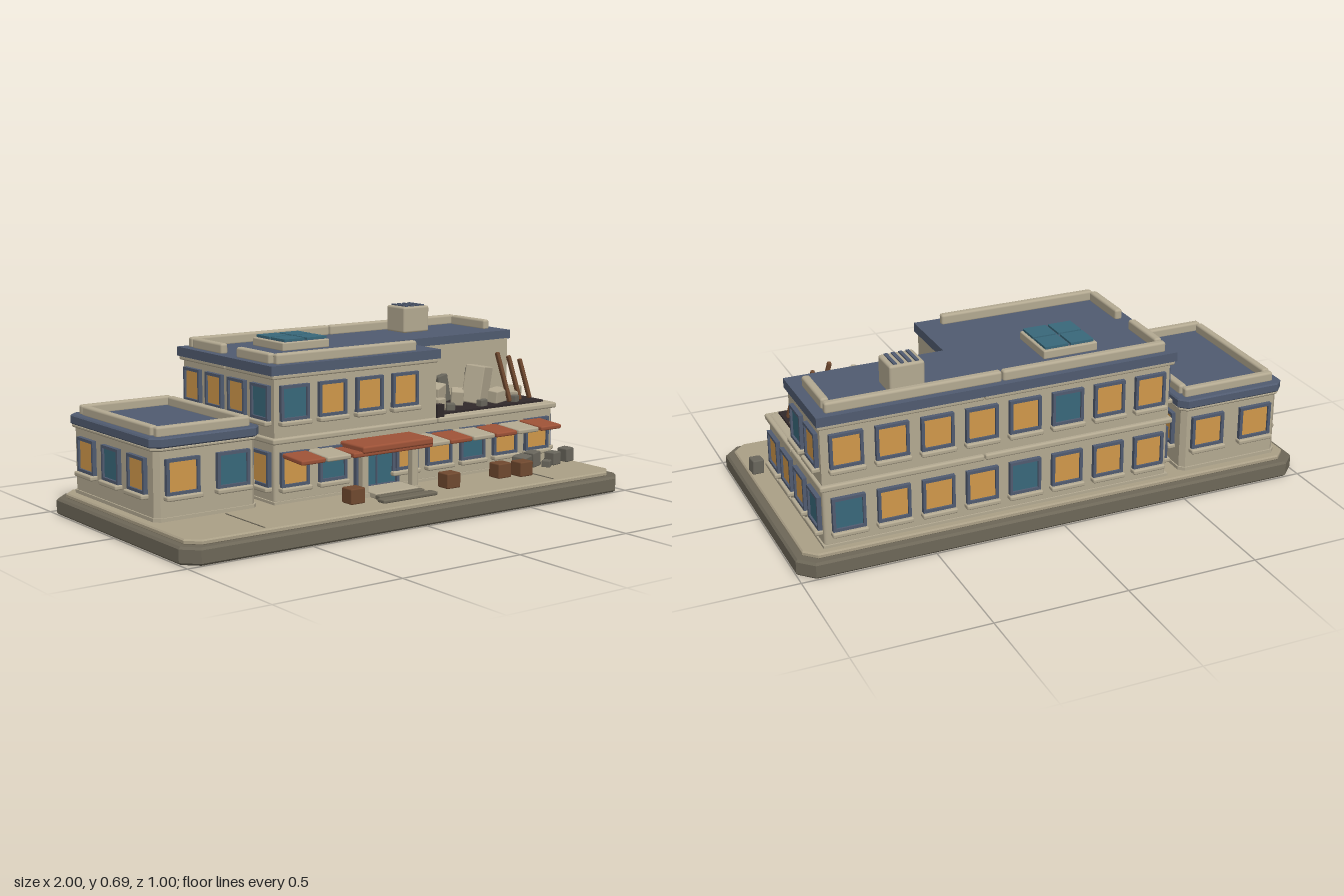
import * as THREE from 'three';
import { RoundedBoxGeometry } from 'three/addons/geometries/RoundedBoxGeometry.js';

const mat = (name, color) => {
  const m = new THREE.MeshStandardMaterial({ color });
  m.name = name;
  return m;
};
const M = {
  stone: mat('pale stone', 0xb3a991),
  paving: mat('paving', 0xaa9f86),
  kerb: mat('kerb', 0x6d6758),
  slate: mat('slate blue', 0x505b70),
  amber: mat('lit window', 0xd0984a),
  teal: mat('teal glass', 0x38687a),
  terracotta: mat('terracotta', 0x9d5237),
  char: mat('charred floor', 0x30282a),
  wood: mat('brown wood', 0x70492f),
  rubble: mat('grey rubble', 0x69665c),
};

export function createModel() {
  const root = new THREE.Group();
  root.name = 'damagedBuilding';

  const add = (name, geo, m, x, y, z, parent = root) => {
    const mesh = new THREE.Mesh(geo, m);
    mesh.name = name;
    mesh.position.set(x, y, z);
    parent.add(mesh);
    return mesh;
  };
  // Boxes given by their min and max corners, plain or with soft edges
  const box = (name, m, x0, x1, y0, y1, z0, z1, r = 0, parent = root) => {
    const s = [x1 - x0, y1 - y0, z1 - z0];
    const geo = r ? new RoundedBoxGeometry(...s, 2, Math.min(r, Math.min(...s) * 0.45)) : new THREE.BoxGeometry(...s);
    return add(name, geo, m, (x0 + x1) / 2, (y0 + y1) / 2, (z0 + z1) / 2, parent);
  };
  // Flat slab from an outline of [x, z] points
  const slab = (name, m, pts, y0, y1, bevel = 0) => {
    const shape = new THREE.Shape(pts.map(([x, z]) => new THREE.Vector2(x, -z)));
    const geo = new THREE.ExtrudeGeometry(shape, {
      depth: y1 - y0 - 2 * bevel, bevelEnabled: bevel > 0, bevelSize: bevel,
      bevelOffset: -bevel, bevelThickness: bevel, bevelSegments: 1,
    });
    geo.rotateX(-Math.PI / 2);
    return add(name, geo, m, 0, y0 + bevel, 0);
  };
  const chamfered = (x0, x1, z0, z1, c) => [
    [x0 + c, z0], [x1 - c, z0], [x1, z0 + c], [x1, z1 - c],
    [x1 - c, z1], [x0 + c, z1], [x0, z1 - c], [x0, z0 + c],
  ];

  // Ground plate
  slab('basePlate', M.kerb, chamfered(-1, 1, -0.5, 0.5, 0.055), 0, 0.062, 0.008);
  slab('pavement', M.paving, chamfered(-0.97, 0.97, -0.47, 0.47, 0.045), 0.06, 0.08, 0.005);
  box('pavingJoint', M.kerb, -0.668, -0.663, 0.079, 0.082, 0.2, 0.45);
  box('pavingJoint', M.kerb, 0.658, 0.663, 0.079, 0.082, 0.2, 0.45);

  // Main block: full lower floor, L-shaped upper floor and roof
  const ell = (x0, x1, z0, z1, nx, nz) => [[x0, z0], [x1, z0], [x1, nz], [nx, nz], [nx, z1], [x0, z1]];
  box('lowerFloor', M.stone, -0.45, 0.89, 0.08, 0.325, -0.437, 0.187, 0.012);
  slab('upperFloor', M.stone, ell(-0.45, 0.89, -0.437, 0.187, 0.29, -0.09), 0.315, 0.552);
  slab('mainRoof', M.slate, ell(-0.47, 0.905, -0.455, 0.202, 0.3, -0.09), 0.55, 0.585);
  box('charredFloor', M.char, 0.295, 0.855, 0.32, 0.333, -0.09, 0.172);
  box('charredStump', M.char, 0.29, 0.325, 0.32, 0.37, 0.165, 0.196);

  // Annex
  slab('annexWalls', M.stone, chamfered(-0.93, -0.52, -0.43, 0.177, 0.018), 0.08, 0.345);
  slab('annexRoof', M.slate, chamfered(-0.948, -0.502, -0.447, 0.195, 0.03), 0.34, 0.376, 0.005);
  slab('annexPlinth', M.stone, chamfered(-0.935, -0.515, -0.436, 0.183, 0.02), 0.08, 0.093);
  slab('annexCornice', M.stone, chamfered(-0.942, -0.508, -0.441, 0.189, 0.024), 0.328, 0.341, 0.004);

  // String courses and cornice, in segments
  for (const [x0, x1] of [[-0.462, 0.288], [0.292, 0.902]]) {
    box('stringCourse', M.stone, x0, x1, 0.3, 0.322, 0.175, 0.203, 0.007);
    box('stringCourse', M.stone, x0, x1, 0.3, 0.322, -0.452, -0.425, 0.007);
    box('cornice', M.stone, x0, x1, 0.535, 0.553, -0.452, -0.425, 0.006);
  }
  for (const [z0, z1] of [[-0.452, -0.122], [-0.118, 0.203]]) {
    box('stringCourse', M.stone, 0.876, 0.902, 0.3, 0.322, z0, z1, 0.007);
    box('stringCourse', M.stone, -0.464, -0.44, 0.3, 0.322, z0, z1, 0.007);
    box('cornice', M.stone, -0.464, -0.44, 0.535, 0.553, z0, z1, 0.006);
  }
  box('cornice', M.stone, -0.462, 0.29, 0.535, 0.553, 0.175, 0.2, 0.006);
  box('cornice', M.stone, 0.876, 0.902, 0.535, 0.553, -0.452, -0.125, 0.006);
  box('plinth', M.stone, -0.456, 0.896, 0.08, 0.09, -0.443, 0.193);

  // Parapet bars
  const bars = [
    [-0.425, 0.21, 0.14, 0.17], [-0.435, 0.21, -0.43, -0.4], [0.215, 0.865, -0.43, -0.4],
    [-0.44, -0.41, -0.39, -0.18], [-0.44, -0.41, -0.08, 0.14], [0.835, 0.865, -0.39, -0.175],
  ];
  for (const [x0, x1, z0, z1] of bars) box('parapet', M.stone, x0, x1, 0.58, 0.622, z0, z1, 0.009);
  const annexBars = [
    [-0.915, -0.535, 0.135, 0.165], [-0.915, -0.535, -0.415, -0.385],
    [-0.92, -0.89, -0.38, 0.13], [-0.56, -0.53, -0.38, 0.13],
  ];
  for (const [x0, x1, z0, z1] of annexBars) box('annexParapet', M.stone, x0, x1, 0.37, 0.41, z0, z1, 0.009);

  // Windows: slate frame, recessed pane and stone sill
  const openFrame = (w, h, t, d) => {
    const rect = (P, a, b) => new P([[-a, -b], [a, -b], [a, b], [-a, b]].map(p => new THREE.Vector2(...p)));
    const s = rect(THREE.Shape, w / 2, h / 2);
    s.holes.push(rect(THREE.Path, w / 2 - t, h / 2 - t));
    return new THREE.ExtrudeGeometry(s, { depth: d, bevelEnabled: false });
  };
  const frameGeo = openFrame(0.122, 0.128, 0.011, 0.016);
  const paneGeo = new THREE.BoxGeometry(0.102, 0.108, 0.008);
  const sillGeo = new RoundedBoxGeometry(0.132, 0.018, 0.034, 2, 0.006);
  const windowAt = (x, y, z, turn, glass, s = 1) => {
    const g = new THREE.Group();
    g.name = 'window';
    g.position.set(x, y, z);
    g.rotation.y = turn;
    g.scale.x = s;
    add('windowFrame', frameGeo, M.slate, 0, 0, 0, g);
    add('windowPane', paneGeo, glass, 0, 0, 0.004, g);
    add('windowSill', sillGeo, M.stone, 0, -0.073, 0.012, g);
    root.add(g);
  };
  const row = (codes, place) => [...codes].forEach((c, i) => {
    if (c !== '-') place(i, c === 'T' ? M.teal : M.amber);
  });
  const Q = Math.PI / 2, LOW = 0.205, HIGH = 0.447, ANNEX = 0.235;
  const colX = i => -0.367 + i * 0.1668, sideZ = i => 0.11 - i * 0.157;
  row('AT-AATAA', (i, m) => windowAt(colX(i), LOW, 0.187, 0, m));
  row('TAAA', (i, m) => windowAt(colX(i), HIGH, 0.187, 0, m));
  row('AAATAAAT', (i, m) => windowAt(colX(i), LOW, -0.437, Math.PI, m));
  row('AATAAAAA', (i, m) => windowAt(colX(i), HIGH, -0.437, Math.PI, m));
  row('AAAT', (i, m) => windowAt(0.89, LOW, sideZ(i), Q, m, 0.93));
  row('--TA', (i, m) => windowAt(0.89, HIGH, sideZ(i), Q, m, 0.93));
  row('ATAA', (i, m) => windowAt(-0.45, LOW, sideZ(i), -Q, m, 0.93));
  row('TAAA', (i, m) => windowAt(-0.45, HIGH, sideZ(i), -Q, m, 0.93));
  row('AT', (i, m) => windowAt(-0.828 + i * 0.205, ANNEX, 0.177, 0, m, 1.1));
  row('AA', (i, m) => windowAt(-0.828 + i * 0.205, ANNEX, -0.43, Math.PI, m, 1.1));
  row('ATA', (i, m) => windowAt(-0.93, ANNEX, 0.06 - i * 0.187, -Q, m));
  row('AAA', (i, m) => windowAt(-0.52, ANNEX, 0.06 - i * 0.187, Q, m));

  // Entrance: door, canopy, posts and steps
  add('doorFrame', openFrame(0.2, 0.16, 0.012, 0.02), M.slate, 0, 0.17, 0.187);
  box('door', M.teal, -0.09, 0.09, 0.095, 0.24, 0.187, 0.195);
  box('doorMullion', M.slate, -0.003, 0.003, 0.095, 0.24, 0.19, 0.199);
  box('canopy', M.terracotta, -0.162, 0.162, 0.255, 0.282, 0.185, 0.335, 0.008);
  box('canopyTrim', M.terracotta, -0.2, 0.165, 0.243, 0.262, 0.185, 0.328, 0.006);
  for (const x of [-0.115, 0.115]) {
    box('canopyPost', M.stone, x - 0.014, x + 0.014, 0.08, 0.25, 0.255, 0.285, 0.005);
    box('postFoot', M.stone, x - 0.02, x + 0.02, 0.08, 0.095, 0.249, 0.291);
  }
  box('landing', M.stone, -0.1, 0.1, 0.08, 0.1, 0.187, 0.325, 0.004);
  box('step', M.kerb, -0.105, 0.105, 0.08, 0.097, 0.328, 0.356, 0.004);
  box('step', M.kerb, -0.125, 0.125, 0.08, 0.094, 0.366, 0.408, 0.005);

  // Striped awning
  const awning = [[-0.425, 1], [-0.313, 0], [0.165, 0], [0.255, 1], [0.367, 0], [0.48, 1], [0.592, 0], [0.71, 1]];
  for (const [x, red] of awning) {
    const w = x === 0.165 ? 0.085 : 0.105;
    box('awningPanel', red ? M.terracotta : M.stone, x, x + w, 0.246, 0.264, 0.19, 0.325, 0.006).rotation.x = 0.06;
  }

  // Skylight and roof vent
  box('skylightFrame', M.stone, -0.215, 0, 0.583, 0.616, -0.315, -0.105, 0.005);
  for (const x of [-0.157, -0.055]) for (const z of [-0.26, -0.158])
    box('skylightPane', M.teal, x - 0.046, x + 0.046, 0.618, 0.627, z - 0.046, z + 0.046);
  box('skylightBed', M.slate, -0.2, -0.012, 0.614, 0.619, -0.303, -0.115);
  box('roofVent', M.stone, 0.482, 0.612, 0.583, 0.69, -0.378, -0.26, 0.009);
  for (let i = 0; i < 4; i++)
    box('ventSlat', M.slate, 0.5 + i * 0.027, 0.513 + i * 0.027, 0.688, 0.695, -0.367, -0.271);

  // Crates on the forecourt
  for (const [x, z] of [[-0.2, 0.325], [0.245, 0.325], [0.52, 0.3], [0.61, 0.325]]) {
    box('crate', M.wood, x - 0.032, x + 0.032, 0.08, 0.138, z - 0.03, z + 0.03, 0.005);
  }

  // Tilted blocks: [x, y, z, width, height, depth, rx, ry, rz]
  const block = (name, m, [x, y, z, w, h, d, rx, ry, rz]) =>
    add(name, new RoundedBoxGeometry(w, h, d, 1, 0.005), m, x, y, z).rotation.set(rx, ry, rz);
  const fallen = [
    [0.69, 0.107, 0.235, 0.065, 0.055, 0.06, 0.1, 0.4, 0], [0.755, 0.112, 0.225, 0.05, 0.06, 0.05, 0, 0.2, 0.1],
    [0.855, 0.105, 0.235, 0.05, 0.052, 0.05, 0, 0.2, 0], [0.94, 0.108, 0.22, 0.045, 0.056, 0.05, 0, 0.1, 0.06],
    [0.8, 0.092, 0.26, 0.035, 0.03, 0.035, 0, 0.6, 0],
  ];
  fallen.forEach(b => block('fallenRubble', M.rubble, b));
  const debris = [
    [0.36, 0.38, 0.08, 0.08, 0.1, 0.08, 0.1, 0.5, 0.1], [0.35, 0.43, 0.06, 0.055, 0.06, 0.06, 0.2, 0.8, 0.2],
    [0.58, 0.41, 0.085, 0.1, 0.15, 0.08, 0.1, 0.5, -0.2], [0.41, 0.365, -0.05, 0.08, 0.06, 0.07, 0, 0.3, 0.3],
    [0.5, 0.365, 0.06, 0.06, 0.06, 0.05, 0.1, 0.9, 0.1], [0.78, 0.355, 0.07, 0.11, 0.04, 0.06, 0, 0.7, 0.1],
    [0.67, 0.36, 0.1, 0.09, 0.05, 0.06, 0.1, 0.3, 0], [0.34, 0.36, 0.14, 0.05, 0.05, 0.04, 0, 0.3, 0],
  ];
  debris.forEach(b => block('wallDebris', M.stone, b));
  const shards = [
    [0.63, 0.395, -0.01, 0.05, 0.13, 0.04, -0.12, 0.3, -0.25], [0.5, 0.385, -0.035, 0.06, 0.11, 0.03, -0.1, 0.2, 0.15],
    [0.66, 0.345, -0.04, 0.04, 0.03, 0.04, 0, 0.5, 0], [0.44, 0.345, 0.03, 0.035, 0.03, 0.035, 0, 0.8, 0],
    [0.56, 0.345, 0.14, 0.04, 0.03, 0.03, 0, 0.2, 0], [0.4, 0.345, 0.14, 0.035, 0.03, 0.035, 0, 1, 0],
    [0.73, 0.345, 0.14, 0.03, 0.03, 0.03, 0, 0.4, 0],
  ];
  shards.forEach(b => block('concreteShard', M.rubble, b));

  // Broken timbers leaning out of the debris
  for (let i = 0; i < 3; i++) {
    const h = 0.205 - i * 0.02;
    block('brokenTimber', M.wood, [0.692 + i * 0.065, 0.33 + h / 2, 0.115 - i * 0.01, 0.016, h, 0.018, -0.2, 0, 0.18]);
  }
  return root;
}
